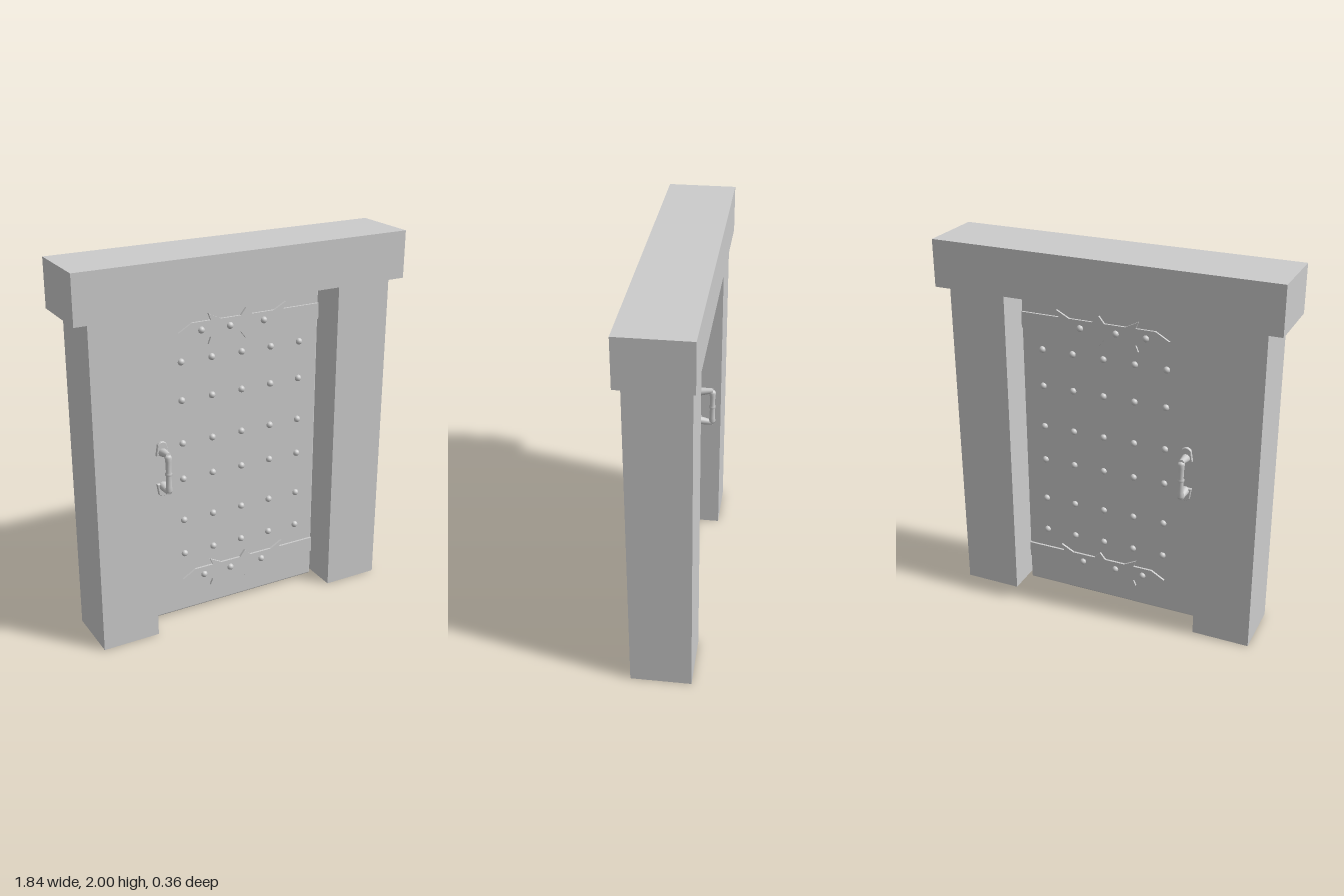
import * as THREE from 'three';
import { RoundedBoxGeometry } from 'three/addons/geometries/RoundedBoxGeometry.js';

const material = new THREE.MeshStandardMaterial({ color: 0xcccccc });
const FRONT_Z = 0.02, BACK_Z = -0.042;

function add(parent, name, geometry, x = 0, y = 0, z = 0) {
  const mesh = new THREE.Mesh(geometry, material);
  mesh.name = name;
  mesh.position.set(x, y, z);
  parent.add(mesh);
  return mesh;
}

// Box given by its limits
function addBlock(parent, name, x0, x1, y0, y1, z0, z1) {
  add(parent, name, new THREE.BoxGeometry(x1 - x0, y1 - y0, z1 - z0),
    (x0 + x1) / 2, (y0 + y1) / 2, (z0 + z1) / 2);
}

// Outline drawn along its upper edge, then mirrored below
function mirroredShape(upper) {
  const lower = upper.filter(p => p[1] !== 0).map(([x, y]) => [x, -y]).reverse();
  return new THREE.Shape([...upper, ...lower].map(([x, y]) => new THREE.Vector2(x, y)));
}

// Pointed hinge strap with three pairs of barbs
const strapGeometry = new THREE.ExtrudeGeometry(mirroredShape([
  [-0.325, 0], [-0.25, 0.043], [-0.145, 0.043], [-0.16, 0.08], [-0.09, 0.043],
  [0.025, 0.043], [0.055, 0.08], [0.09, 0.043], [0.22, 0.043], [0.29, 0.08],
  [0.275, 0.043], [0.49, 0.043],
]), { depth: 0.012, bevelEnabled: false });

// Domed nail head, pointing along +z
const studGeometry = new THREE.SphereGeometry(0.018, 16, 8, 0, Math.PI * 2, 0, Math.PI / 2)
  .rotateX(Math.PI / 2);

// Handle mounting plate, widest towards the grip
const plateShape = new THREE.Shape();
plateShape.moveTo(-0.031, 0.082);
plateShape.lineTo(0.031, 0.082);
plateShape.quadraticCurveTo(0.025, 0.12, 0.022, 0.138);
plateShape.quadraticCurveTo(0, 0.162, -0.022, 0.138);
plateShape.quadraticCurveTo(-0.025, 0.12, -0.031, 0.082);
const plateGeometry = new THREE.ExtrudeGeometry(plateShape, {
  depth: 0.01, bevelThickness: 0.005, bevelSize: 0.003, bevelSegments: 2, curveSegments: 6,
});

// Grip with swollen ends and a collar in the middle
const gripGeometry = new THREE.LatheGeometry([
  [0, -0.106], [0.014, -0.103], [0.019, -0.092], [0.016, -0.07], [0.014, -0.01],
  [0.018, -0.006], [0.018, 0.006], [0.014, 0.01], [0.016, 0.07], [0.019, 0.092],
  [0.014, 0.103], [0, 0.106],
].map(([r, y]) => new THREE.Vector2(r, y)), 16);

// Arm tapering from the plate out to the grip
const armGeometry = new THREE.CylinderGeometry(0.014, 0.024, 0.078, 16).rotateX(Math.PI / 2);

function makeHandle() {
  const handle = new THREE.Group();
  handle.name = 'handle';
  add(handle, 'handleGrip', gripGeometry, 0, 0, 0.08);
  for (const s of [1, -1]) {
    const plate = add(handle, 'handlePlate', plateGeometry);
    if (s < 0) plate.rotation.z = Math.PI;
    const arm = add(handle, 'handleArm', armGeometry, 0, s * 0.099, 0.044);
    arm.rotation.x = -s * 0.12;
  }
  return handle;
}

// Ironwork on one face; parts are turned over for the back
function addIronwork(door, isBack) {
  const side = new THREE.Group();
  side.name = isBack ? 'backIronwork' : 'frontIronwork';
  const z = isBack ? BACK_Z : FRONT_Z;
  const out = isBack ? -1 : 1;
  const turn = object => { if (isBack) object.rotation.x = Math.PI; };

  for (const y of [0.207, 1.592]) {
    turn(add(side, 'hingeStrap', strapGeometry, 0, y, z));
    for (const x of [-0.2, -0.038, 0.158])
      turn(add(side, 'strapStud', studGeometry, x, y, z + out * 0.011));
  }
  for (const y of [0.36, 0.56, 0.8, 1.0, 1.235, 1.44])
    for (let i = 0; i < 5; i++)
      turn(add(side, 'doorStud', studGeometry, -0.31 + i * 0.1725, y, z));

  const handle = makeHandle();
  handle.position.set(-0.43, 0.885, z);
  turn(handle);
  side.add(handle);
  door.add(side);
}

export function createModel() {
  const model = new THREE.Group();
  model.name = 'doorway';

  // Frame
  addBlock(model, 'lintel', -0.92, 0.915, 1.75, 2, -0.18, 0.18);
  addBlock(model, 'rightPost', -0.845, -0.537, 0, 1.75, -0.16, 0.155);
  addBlock(model, 'leftPost', 0.53, 0.84, 0, 1.75, -0.16, 0.155);

  // Door leaf with softened edges
  const door = new THREE.Group();
  door.name = 'door';
  model.add(door);
  add(door, 'doorLeaf', new RoundedBoxGeometry(1.03, 1.738, FRONT_Z - BACK_Z, 3, 0.01),
    -0.02, 0.881, (FRONT_Z + BACK_Z) / 2);
  addIronwork(door, false);
  addIronwork(door, true);
  return model;
}
